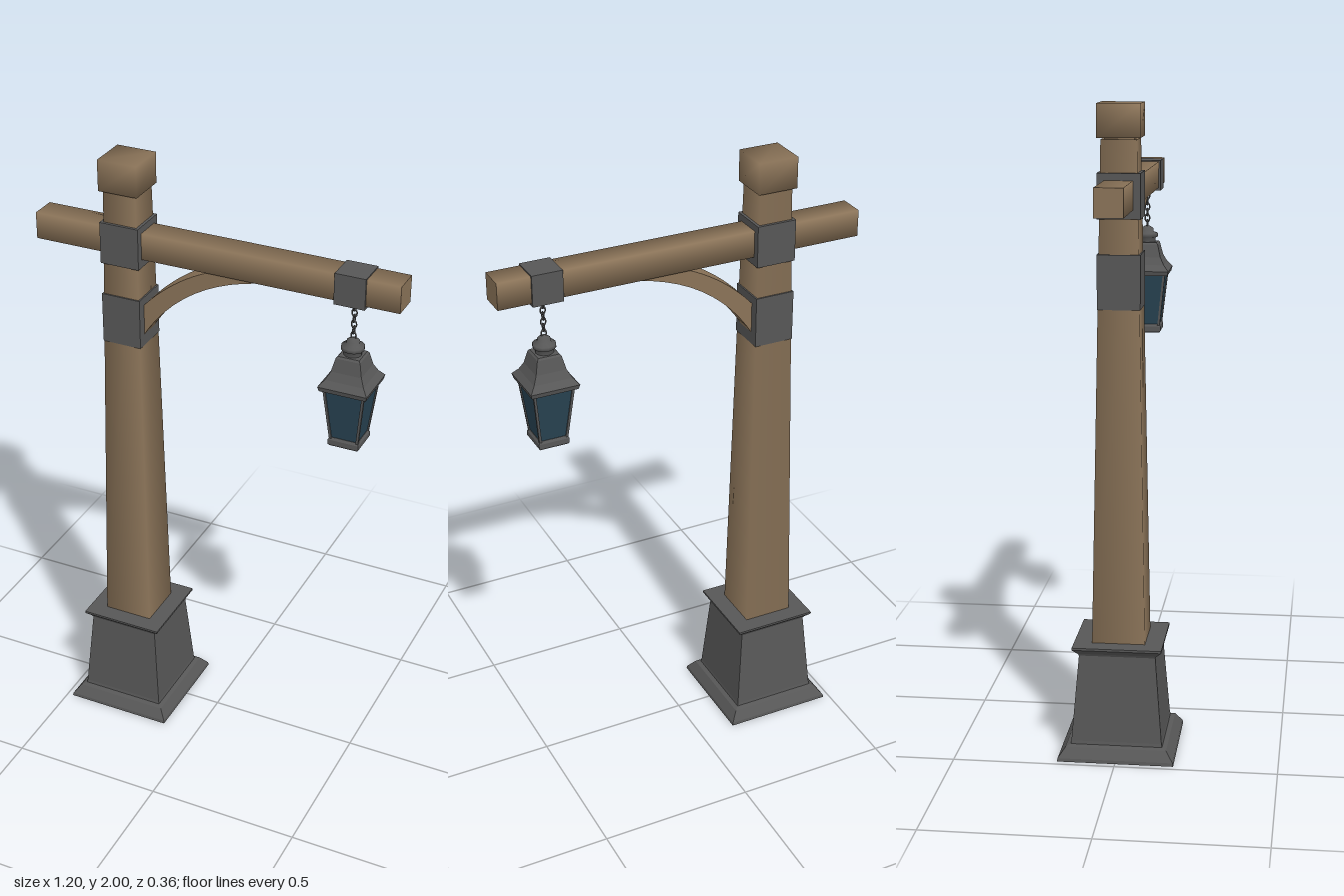
import * as THREE from 'three';
import { mergeVertices } from 'three/addons/utils/BufferGeometryUtils.js';

const POST_X = -0.3, LAMP_X = 0.445;

export function createModel() {
  const group = new THREE.Group();
  const material = (name, color) => {
    const m = new THREE.MeshStandardMaterial({ color });
    m.name = name;
    return m;
  };
  const wood = material('wood', 0x8a7358);
  const iron = material('iron', 0x575757);
  const glass = material('glass', 0x284352);

  const add = (name, geometry, mat, x = 0, y = 0, z = 0, parent = group) => {
    const mesh = new THREE.Mesh(geometry, mat);
    mesh.name = name;
    mesh.position.set(x, y, z);
    parent.add(mesh);
    return mesh;
  };

  // Stack of square sections, given as [half width, height] from bottom to top
  const squareStack = (profile) => {
    const points = profile.map(([w, y]) => new THREE.Vector2(w * Math.SQRT2, y));
    const g = new THREE.LatheGeometry(points, 4, Math.PI / 4).toNonIndexed();
    g.computeVertexNormals();
    return g;
  };
  // Square timber whose long edges are shaded softly
  const timber = (top, bottom, length) =>
    new THREE.CylinderGeometry(top * Math.SQRT2, bottom * Math.SQRT2, length, 4, 1, false, Math.PI / 4);

  // Moulded pedestal
  add('pedestal', squareStack([
    [0, 0], [0.18, 0], [0.178, 0.01], [0.156, 0.04], [0.142, 0.045], [0.14, 0.055],
    [0.118, 0.325], [0.122, 0.332], [0.138, 0.348], [0.138, 0.355], [0, 0.355],
  ]), iron, POST_X);

  // Tapered post with a softly shaded cap
  add('post', timber(0.054, 0.082, 1.54), wood, POST_X, 1.125);
  add('capNeck', timber(0.045, 0.045, 0.02), wood, POST_X, 1.9);
  const cap = new THREE.BoxGeometry(0.13, 0.1, 0.13);
  cap.deleteAttribute('normal');
  cap.deleteAttribute('uv');
  const softCap = mergeVertices(cap);
  softCap.computeVertexNormals();
  add('postCap', softCap, wood, POST_X, 1.95);

  // Crossbeam
  const beam = add('crossbeam', timber(0.043, 0.043, 1.2), wood, 0, 1.733);
  beam.rotation.z = Math.PI / 2;

  // Iron bands on the post and the clamp on the beam
  add('upperBand', new THREE.BoxGeometry(0.13, 0.135, 0.13), iron, POST_X, 1.73);
  add('lowerBand', new THREE.BoxGeometry(0.13, 0.165, 0.13), iron, POST_X, 1.475);
  add('beamClamp', new THREE.BoxGeometry(0.098, 0.1, 0.098), iron, LAMP_X, 1.73);

  // Curved brace
  const shape = new THREE.Shape();
  shape.moveTo(-0.245, 1.415);
  shape.quadraticCurveTo(-0.1, 1.66, 0.2, 1.695);
  shape.lineTo(0, 1.695);
  shape.quadraticCurveTo(-0.14, 1.64, -0.245, 1.52);
  add('brace', new THREE.ExtrudeGeometry(shape, { depth: 0.07, bevelEnabled: false, curveSegments: 12 }),
    wood, 0, 0, -0.035);

  // Chain of alternating links
  const chain = new THREE.Group();
  chain.name = 'chain';
  group.add(chain);
  const link = new THREE.TorusGeometry(0.008, 0.0024, 6, 12).scale(1, 1.5, 1);
  for (let i = 0; i < 7; i++) {
    add('chainLink', link, iron, LAMP_X, 1.678 - i * 0.019, 0, chain).rotation.y = (i % 2) * Math.PI / 2;
  }

  // Lantern
  const lantern = new THREE.Group();
  lantern.name = 'lantern';
  lantern.position.x = LAMP_X;
  group.add(lantern);
  add('lanternRoof', squareStack([
    [0, 1.395], [0.075, 1.395], [0.079, 1.41], [0.062, 1.43], [0.049, 1.455],
    [0.039, 1.497], [0.034, 1.503], [0, 1.503],
  ]), iron, 0, 0, 0, lantern);
  add('lanternFinial', new THREE.LatheGeometry([
    [0.028, 1.5], [0.028, 1.517], [0.036, 1.52], [0.036, 1.532], [0.022, 1.537],
    [0.02, 1.549], [0.008, 1.557], [0, 1.557],
  ].map(([r, y]) => new THREE.Vector2(r, y)), 12), iron, 0, 0, 0, lantern);
  add('lanternGlass', squareStack([[0.043, 1.22], [0.063, 1.397]]), glass, 0, 0, 0, lantern);
  add('lanternBase', squareStack([
    [0, 1.197], [0.046, 1.197], [0.05, 1.203], [0.05, 1.218], [0.045, 1.226], [0, 1.226],
  ]), iron, 0, 0, 0, lantern);

  // Sloping corner bars
  const up = new THREE.Vector3(0, 1, 0);
  for (const sx of [-1, 1]) for (const sz of [-1, 1]) {
    const low = new THREE.Vector3(sx * 0.043, 1.22, sz * 0.043);
    const high = new THREE.Vector3(sx * 0.063, 1.4, sz * 0.063);
    const along = high.clone().sub(low);
    const mid = low.clone().add(high).multiplyScalar(0.5);
    add('lanternBar', new THREE.BoxGeometry(0.008, along.length(), 0.008), iron, mid.x, mid.y, mid.z, lantern)
      .quaternion.setFromUnitVectors(up, along.normalize());
  }
  return group;
}
